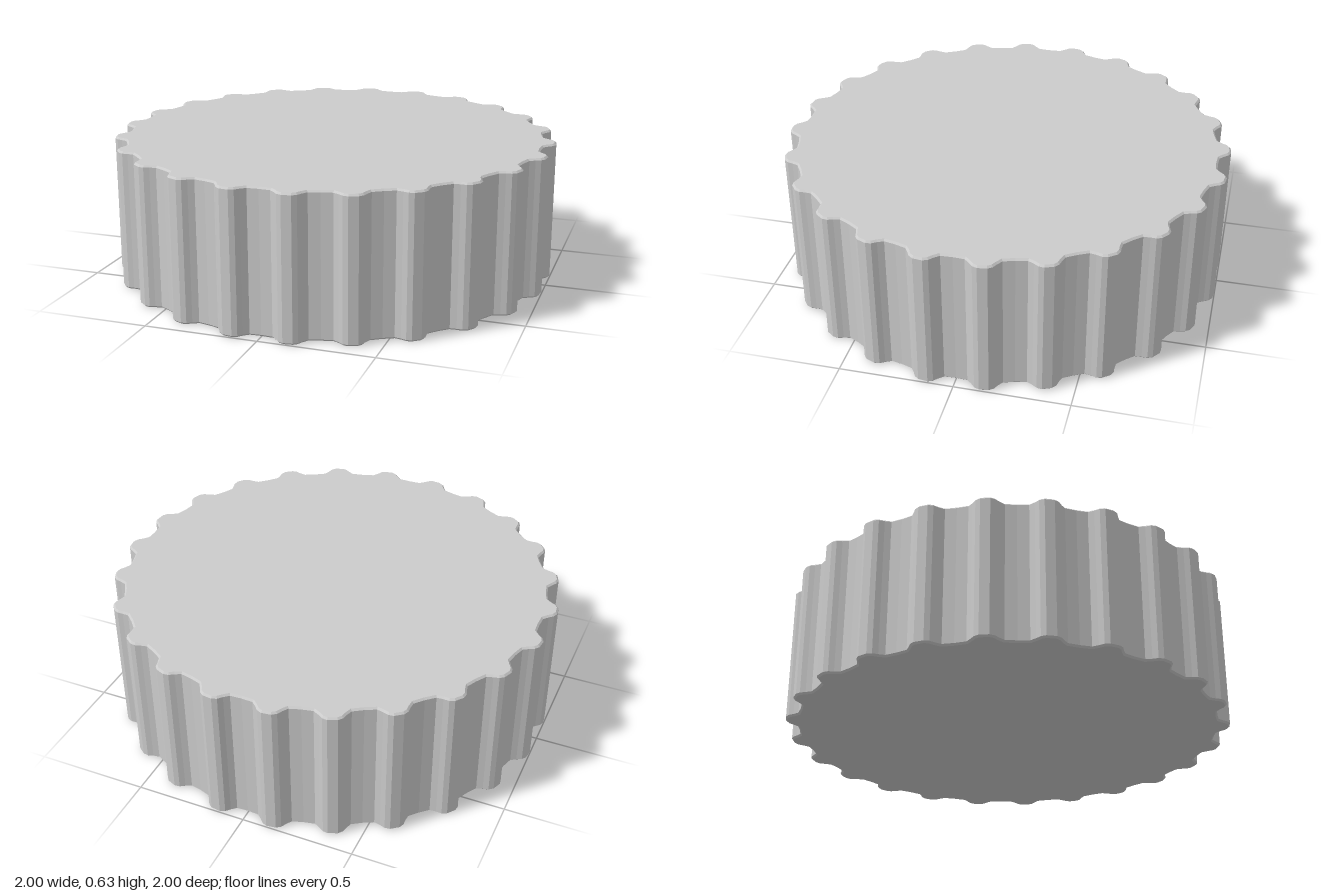
import * as THREE from 'three';

const TEETH = 24;
const HEIGHT = 0.635;
const BEVEL = 0.008;

// One tooth: [degrees from the tooth's centre, radius], from valley to valley
const TOOTH = [
  [-7.5, 0.951], [-4.5, 0.955], [-3.3, 0.975], [-2.4, 0.995], [-1.2, 1.006],
  [1.2, 1.006], [2.4, 0.995], [3.3, 0.975], [4.5, 0.955],
];

// Scalloped outline, with a valley on each axis
function outline() {
  const points = [];
  for (let i = 0; i < TEETH; i++) {
    for (const [deg, r] of TOOTH) {
      const a = THREE.MathUtils.degToRad(((i + 0.5) * 360) / TEETH + deg);
      points.push(new THREE.Vector2(r * Math.cos(a), r * Math.sin(a)));
    }
  }
  return new THREE.Shape(points);
}

export function createModel() {
  const group = new THREE.Group();
  group.name = 'flutedCap';

  // Solid ribbed disc with finely bevelled rims
  const geometry = new THREE.ExtrudeGeometry(outline(), {
    depth: HEIGHT - 2 * BEVEL,
    bevelThickness: BEVEL,
    bevelSize: BEVEL,
    bevelOffset: -BEVEL,
    bevelSegments: 1,
  });
  geometry.rotateX(-Math.PI / 2);
  geometry.translate(0, BEVEL, 0);

  const material = new THREE.MeshStandardMaterial({ color: 0xcccccc, flatShading: true });
  const disc = new THREE.Mesh(geometry, material);
  disc.name = 'ribbedDisc';
  group.add(disc);
  return group;
}
